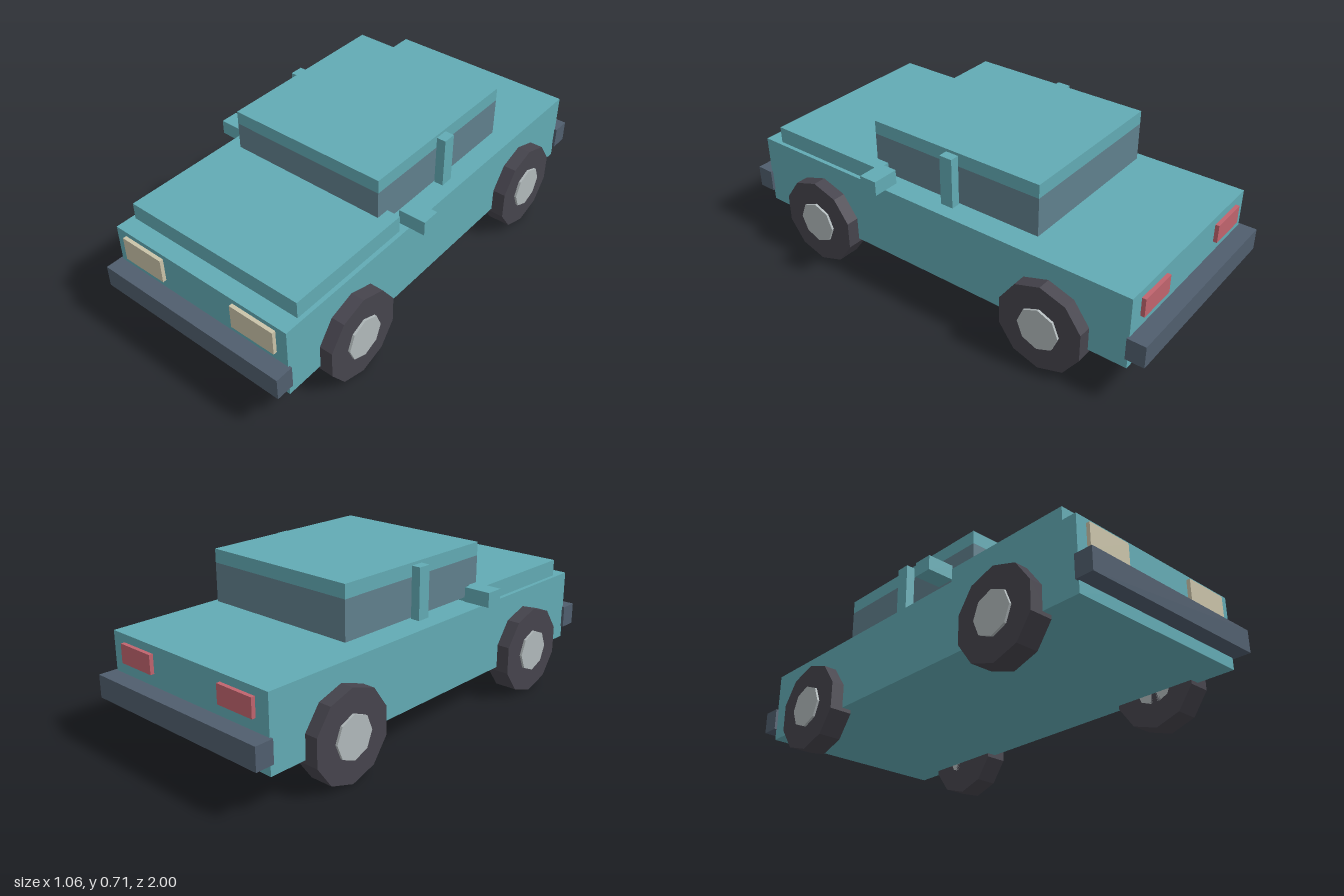
import * as THREE from 'three';

const material = (name, color) => {
  const m = new THREE.MeshStandardMaterial({ color });
  m.name = name;
  return m;
};

export function createModel() {
  const paint = material('teal paint', 0x62abb4);
  const glass = material('window glass', 0x60808d);
  const trim = material('bumper grey', 0x505e6e);
  const rubber = material('tyre rubber', 0x46444d);
  const metal = material('hub metal', 0xb1b9bb);
  const lamp = material('headlight cream', 0xcac3a9);
  const red = material('tail light red', 0xc0646e);

  const car = new THREE.Group();
  car.name = 'car';

  // Box given by its extents on each axis
  const box = (name, mat, [x0, x1], [y0, y1], [z0, z1]) => {
    const mesh = new THREE.Mesh(new THREE.BoxGeometry(x1 - x0, y1 - y0, z1 - z0), mat);
    mesh.position.set((x0 + x1) / 2, (y0 + y1) / 2, (z0 + z1) / 2);
    mesh.name = name;
    car.add(mesh);
  };
  // The same box on both sides
  const pair = (name, mat, [x0, x1], y, z) => {
    box(name + 'Left', mat, [x0, x1], y, z);
    box(name + 'Right', mat, [-x1, -x0], y, z);
  };

  // Body and hood
  box('body', paint, [-0.438, 0.438], [0.148, 0.46], [-0.925, 0.928]);
  box('hood', paint, [-0.42, 0.42], [0.46, 0.533], [0.27, 0.85]);

  // Cabin: glass band under a roof slab, slightly clear of the body
  box('windows', glass, [-0.36, 0.36], [0.485, 0.65], [-0.475, 0.328]);
  box('roof', paint, [-0.36, 0.36], [0.65, 0.708], [-0.475, 0.328]);
  pair('pillar', paint, [0.36, 0.4], [0.48, 0.696], [-0.1, -0.042]);
  pair('mirror', paint, [0.41, 0.528], [0.493, 0.555], [0.182, 0.262]);

  // Bumpers and lights
  box('frontBumper', trim, [-0.45, 0.45], [0.198, 0.294], [0.922, 1]);
  box('rearBumper', trim, [-0.45, 0.45], [0.198, 0.294], [-1, -0.92]);
  pair('headlight', lamp, [0.18, 0.387], [0.334, 0.44], [0.92, 0.944]);
  pair('tailLight', red, [0.192, 0.372], [0.346, 0.426], [-0.942, -0.92]);

  // Wheels: ten-sided tyres with a corner at the bottom, eight-sided hubs
  const tyreShape = new THREE.CylinderGeometry(0.191, 0.191, 0.1, 10).rotateY(Math.PI / 10).rotateZ(Math.PI / 2);
  const hubShape = new THREE.CylinderGeometry(0.0915, 0.0915, 0.11, 8).rotateZ(Math.PI / 2);
  const flat = (g) => {
    const f = g.toNonIndexed();
    f.computeVertexNormals();
    return f;
  };
  const tyreGeometry = flat(tyreShape);
  const hubGeometry = flat(hubShape);
  for (const side of [1, -1]) {
    for (const end of [1, -1]) {
      const wheel = new THREE.Group();
      wheel.name = (end > 0 ? 'front' : 'rear') + 'Wheel' + (side > 0 ? 'Left' : 'Right');
      const tyre = new THREE.Mesh(tyreGeometry, rubber);
      tyre.name = 'tyre';
      const hub = new THREE.Mesh(hubGeometry, metal);
      hub.name = 'hub';
      hub.position.x = side * 0.005;
      wheel.add(tyre, hub);
      wheel.position.set(side * 0.445, 0.191, end * 0.58);
      car.add(wheel);
    }
  }
  return car;
}
